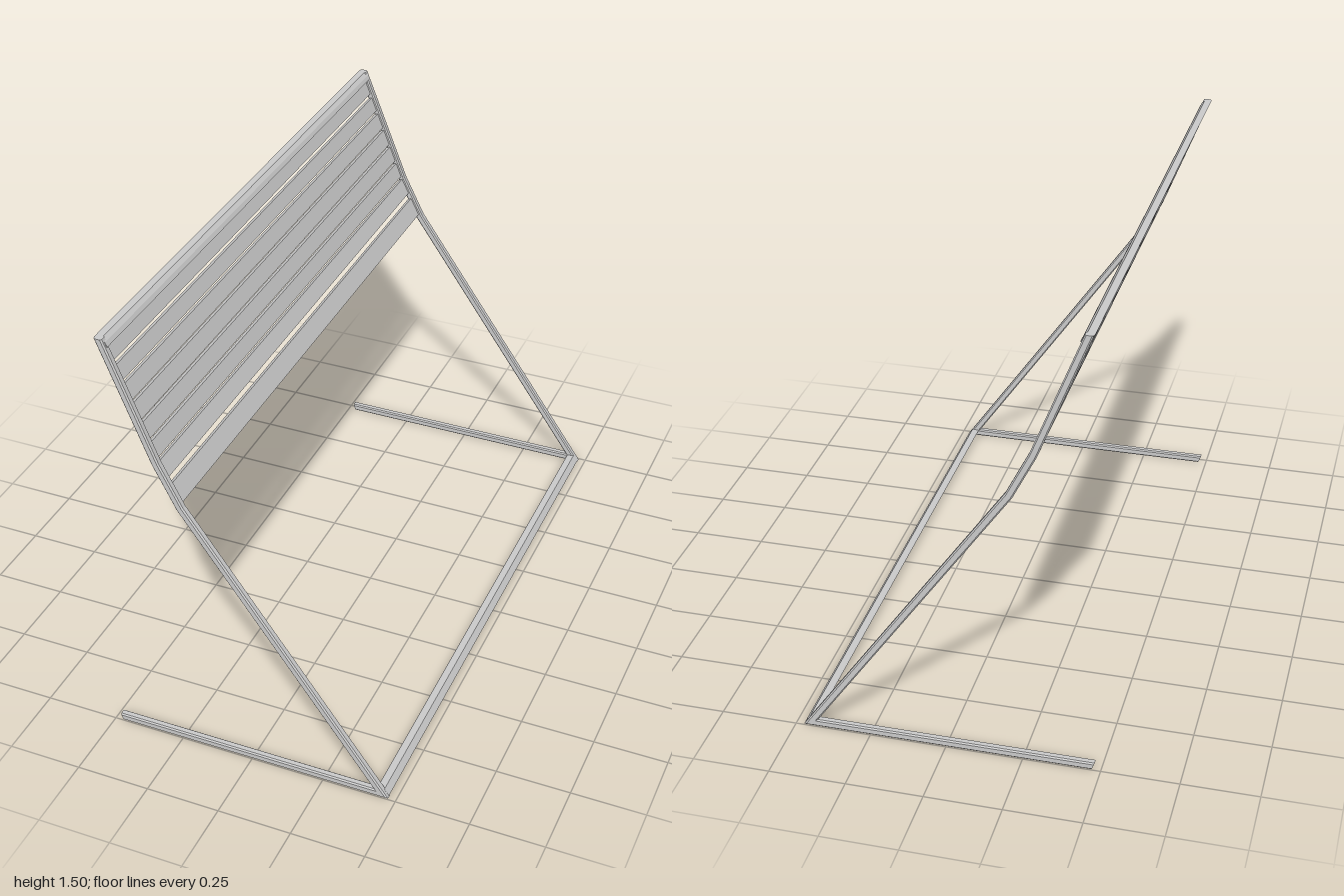
import * as THREE from 'three';

const material = new THREE.MeshStandardMaterial({ color: 0xcccccc, flatShading: true, side: THREE.DoubleSide });
const R = 0.0125; // half width of the square tube
const C = 0.008;  // where the chamfered corners begin

// chamfered square section: [in plane, across]
const section = [[R, C], [C, R], [-C, R], [-R, C], [-R, -C], [-C, -R], [C, -R], [R, -C]];

// centre line of a side member in x, y: foot tip, heel, two bends, top
const path = [[-0.475, R], [0.45, R], [-0.207, 0.95], [-0.28, 1.095], [-0.44, 1.5]]
  .map(([x, y]) => new THREE.Vector2(x, y));

// sweeps the tube section along the path with mitred joints
function mitredTube(z) {
  const positions = [], index = [];
  const n = section.length;
  const normals = path.slice(1).map((p, i) => {
    const d = p.clone().sub(path[i]).normalize();
    return new THREE.Vector2(-d.y, d.x);
  });
  path.forEach((p, i) => {
    let m;
    if (i === 0) m = new THREE.Vector2(-0.4, 1);
    else if (i === path.length - 1) m = new THREE.Vector2(-1.07, 0);
    else {
      m = normals[i - 1].clone().add(normals[i]).normalize();
      m.divideScalar(m.dot(normals[i]));
    }
    for (const [u, v] of section) positions.push(p.x + m.x * u, p.y + m.y * u, z + v);
  });
  for (let i = 0; i < path.length - 1; i++) {
    for (let j = 0; j < n; j++) {
      const a = i * n + j, b = i * n + (j + 1) % n;
      index.push(a, a + n, b, b, a + n, b + n);
    }
  }
  // end caps
  const last = (path.length - 1) * n;
  for (let j = 1; j < n - 1; j++) {
    index.push(0, j, j + 1, last, last + j + 1, last + j);
  }
  const g = new THREE.BufferGeometry();
  g.setAttribute('position', new THREE.Float32BufferAttribute(positions, 3));
  g.setIndex(index);
  g.computeVertexNormals();
  return g;
}

// straight cross rail from its x, y outline
function rail(points, halfLength) {
  const shape = new THREE.Shape(points.map(([x, y]) => new THREE.Vector2(x, y)));
  const g = new THREE.ExtrudeGeometry(shape, { depth: 2 * halfLength, bevelEnabled: false });
  return g.translate(0, 0, -halfLength);
}

// point on the centre line of the upper bends at height y
function backAt(y) {
  const i = y < path[3].y ? 2 : 3;
  const a = path[i], b = path[i + 1];
  const t = (y - a.y) / (b.y - a.y);
  return { x: a.x + (b.x - a.x) * t, tilt: Math.atan2(a.x - b.x, b.y - a.y) };
}

export function createModel() {
  const group = new THREE.Group();
  const add = (geometry, name) => {
    const mesh = new THREE.Mesh(geometry, material);
    mesh.name = name;
    group.add(mesh);
    return mesh;
  };

  // bent side members, each with its foot
  add(mitredTube(1 - R), 'leftSideFrame');
  add(mitredTube(-1 + R), 'rightSideFrame');

  // cross rails
  add(rail([[-0.455, 1.5], [-0.431, 1.5], [-0.42, 1.488], [-0.413, 1.474], [-0.418, 1.47], [-0.44, 1.47]], 0.99), 'topRail');
  add(rail([[0.432, 0.022], [0.436, 0.025], [0.457, 0.025], [0.473, 0.003], [0.469, 0], [0.45, 0]], 0.985), 'bottomRail');

  // backrest slats: [centre height, width along the slope]
  const slats = new THREE.Group();
  slats.name = 'backrestSlats';
  const rows = [[1.442, 0.052], [1.379, 0.052], [1.317, 0.057], [1.254, 0.059],
    [1.191, 0.057], [1.129, 0.055], [1.066, 0.06], [0.988, 0.07]];
  const thickness = 0.014;
  for (const [y, width] of rows) {
    const { x, tilt } = backAt(y);
    const slat = new THREE.Mesh(new THREE.BoxGeometry(thickness, width, 1.95), material);
    slat.name = 'slat';
    slat.position.set(x - 0.005, y, 0);
    slat.rotation.z = tilt;
    slats.add(slat);
  }
  group.add(slats);
  return group;
}
